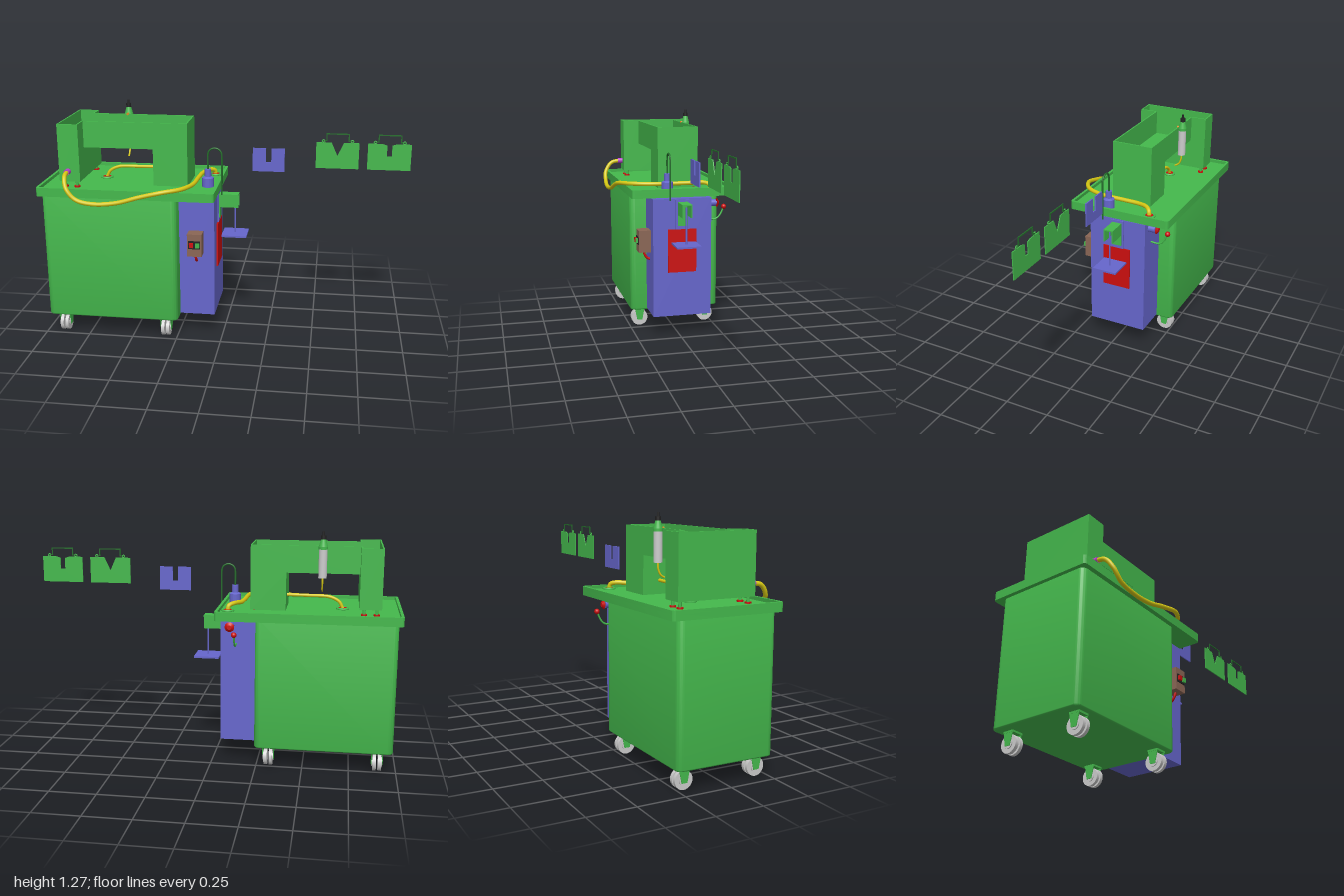
import * as THREE from 'three';
import { toCreasedNormals } from 'three/addons/utils/BufferGeometryUtils.js';

const mat = (color) => new THREE.MeshStandardMaterial({ color, side: THREE.DoubleSide });
const GREEN = mat(0x44b84c), BLUE = mat(0x6666cc), RED = mat(0xcc0f0f), YELLOW = mat(0xd6c814),
  BROWN = mat(0x8a6655), BLACK = mat(0x222222), PURPLE = mat(0xbb44cc), GREY = mat(0xcccccc), DARK = mat(0x236b2a);

export function createModel() {
  const model = new THREE.Group();

  const add = (name, geo, material, parent = model) => {
    const mesh = new THREE.Mesh(geo, material);
    mesh.name = name;
    parent.add(mesh);
    return mesh;
  };
  // box given by its min and max limits
  const box = (name, [x0, x1], [y0, y1], [z0, z1], material, parent) => {
    const m = add(name, new THREE.BoxGeometry(x1 - x0, y1 - y0, z1 - z0), material, parent);
    m.position.set((x0 + x1) / 2, (y0 + y1) / 2, (z0 + z1) / 2);
    return m;
  };
  // cylinder centred at a point, along a named axis
  const cyl = (name, r0, r1, h, [x, y, z], axis, material, parent) => {
    const m = add(name, new THREE.CylinderGeometry(r1, r0, h, 28), material, parent);
    m.position.set(x, y, z);
    if (axis === 'x') m.rotation.z = -Math.PI / 2;
    if (axis === 'z') m.rotation.x = Math.PI / 2;
    return m;
  };
  const tube = (name, pts, r, material, segs = 80) => add(name, new THREE.TubeGeometry(
    new THREE.CatmullRomCurve3(pts.map((p) => new THREE.Vector3(...p)), false, 'centripetal'), segs, r, 12), material);
  // upright sheet cut from an outline in x and y
  const sheet = (name, pts, z, t, material, parent) => {
    const shape = new THREE.Shape(pts.map((p) => new THREE.Vector2(...p)));
    const m = add(name, new THREE.ExtrudeGeometry(shape, { depth: t, bevelEnabled: false }), material, parent);
    m.position.z = z;
    return m;
  };
  const roundRect = (target, x0, x1, z0, z1, r) => {
    target.absarc(x1 - r, -z0 - r, r, 0, Math.PI / 2);
    target.absarc(x0 + r, -z0 - r, r, Math.PI / 2, Math.PI);
    target.absarc(x0 + r, -z1 + r, r, Math.PI, Math.PI * 1.5);
    target.absarc(x1 - r, -z1 + r, r, Math.PI * 1.5, Math.PI * 2);
    target.closePath();
    return target;
  };
  // rounded block standing on y0, optionally hollowed by an inner rounded rectangle
  const slab = (name, outer, y0, y1, inner, bevel = 0) => {
    const shape = roundRect(new THREE.Shape(), ...outer);
    if (inner) shape.holes.push(roundRect(new THREE.Path(), ...inner));
    const geo = new THREE.ExtrudeGeometry(shape, {
      depth: y1 - y0 - 2 * bevel, curveSegments: 8, bevelEnabled: bevel > 0,
      bevelThickness: bevel, bevelSize: bevel, bevelOffset: -bevel, bevelSegments: 3,
    });
    geo.rotateX(-Math.PI / 2);
    const m = add(name, toCreasedNormals(geo, 0.6), GREEN);
    m.position.y = y0 + bevel;
  };

  // Main cabinet and tray table
  slab('cabinet', [-0.98, -0.24, -0.28, 0.25, 0.03], 0.11, 0.82, null, 0.008);
  slab('tableTop', [-1, -0.03, -0.325, 0.275, 0.015], 0.815, 0.845);
  slab('tableRim', [-1, -0.03, -0.325, 0.275, 0.015], 0.845, 0.863, [-0.985, -0.045, -0.31, 0.26, 0.01]);

  // Casters
  for (const x of [-0.9, -0.315]) for (const z of [0.19, -0.215]) {
    const caster = new THREE.Group();
    caster.name = 'caster';
    caster.position.set(x, 0, z);
    model.add(caster);
    for (const s of [-1, 1]) {
      cyl('wheel', 0.048, 0.048, 0.018, [s * 0.014, 0.048, 0], 'x', GREY, caster);
      cyl('wheelHub', 0.026, 0.026, 0.006, [s * 0.025, 0.048, 0], 'x', GREY, caster);
      const cheek = sheet('forkCheek', [[-0.03, 0.11], [-0.015, 0.035], [0.015, 0.035], [0.03, 0.11]], 0, 0.004, GREEN, caster);
      cheek.rotation.y = Math.PI / 2;
      cheek.position.x = s * 0.029 - 0.002;
    }
    box('forkPlate', [-0.032, 0.032], [0.1, 0.113], [-0.03, 0.03], GREEN, caster);
  }

  // Open-topped upper housing: wide column, arm and narrow column, all thin walls
  const housing = new THREE.Group();
  housing.name = 'upperHousing';
  model.add(housing);
  const t = 0.008, bottom = 0.88, top = 1.195, armY = 1.05, full = [bottom, top];
  box('columnOuterWall', [-0.89, -0.89 + t], full, [-0.235, 0.188], GREEN, housing);
  box('columnFrontWall', [-0.89, -0.775], full, [0.188 - t, 0.188], GREEN, housing);
  box('columnBackWall', [-0.89, -0.775], full, [-0.235, -0.235 + t], GREEN, housing);
  box('columnFrontReturn', [-0.775 - t, -0.775], full, [0.092, 0.188], GREEN, housing);
  box('columnBackReturn', [-0.775 - t, -0.775], full, [-0.235, -0.145], GREEN, housing);
  box('columnInnerWall', [-0.775 - t, -0.775], [bottom, armY], [-0.145, 0.092], GREEN, housing);
  const armOutline = [[-0.78, top], [-0.78, armY], [-0.39, armY], [-0.39, 0.846], [-0.2, 0.846], [-0.2, top]];
  sheet('armFrontWall', armOutline, 0.092 - t, t, GREEN, housing);
  sheet('armBackWall', armOutline, -0.145, t, GREEN, housing);
  box('armFloor', [-0.78, -0.39], [armY, armY + t], [-0.145, 0.092], GREEN, housing);
  box('narrowInnerWall', [-0.39, -0.39 + t], [0.846, armY], [-0.145, 0.092], GREEN, housing);
  box('narrowOuterWall', [-0.2 - t, -0.2], [0.846, top], [-0.145, 0.092], GREEN, housing);
  for (const [x, z] of [[-0.865, 0.165], [-0.8, 0.165], [-0.865, -0.21], [-0.8, -0.21], [-0.22, -0.125], [-0.22, 0.07]]) {
    cyl('footPad', 0.016, 0.016, 0.008, [x, 0.849, z], 'y', RED);
    cyl('footPost', 0.008, 0.008, 0.035, [x, 0.866, z], 'y', GREEN);
  }

  // Pressure cylinder behind the arm
  const px = -0.58, pz = -0.167;
  cyl('pressureCylinder', 0.022, 0.022, 0.15, [px, 1.105, pz], 'y', GREY);
  cyl('cylinderCollar', 0.024, 0.024, 0.014, [px, 1.187, pz], 'y', GREEN);
  cyl('cylinderCap', 0.024, 0.013, 0.04, [px, 1.212, pz], 'y', GREEN);
  cyl('cylinderNut', 0.014, 0.014, 0.02, [px, 1.242, pz], 'y', BLACK);
  cyl('cylinderStem', 0.006, 0.006, 0.025, [px, 1.26, pz], 'y', BLACK);
  cyl('cylinderPort', 0.007, 0.007, 0.03, [px, 1.195, -0.15], 'z', mat(0xd88a20));
  tube('cylinderHose', [[px, 1.035, pz], [px, 1.0, -0.165], [px, 0.97, -0.152], [px, 0.955, -0.13]], 0.005, YELLOW, 24);

  // Table ports and hoses
  const port = (x, z) => {
    const ring = add('portRing', new THREE.TorusGeometry(0.028, 0.007, 10, 32), GREEN);
    ring.rotation.x = Math.PI / 2;
    ring.position.set(x, 0.848, z);
    cyl('portSeal', 0.022, 0.022, 0.008, [x, 0.849, z], 'y', RED);
  };
  port(-0.69, -0.05);
  port(-0.085, -0.19);
  tube('innerHose', [[-0.69, 0.85, -0.05], [-0.67, 0.885, -0.05], [-0.62, 0.91, -0.05], [-0.5, 0.915, -0.05], [-0.39, 0.917, -0.05]], 0.009, YELLOW);
  tube('mainHose', [[-0.84, 0.935, 0.03], [-0.84, 0.937, 0.2], [-0.838, 0.925, 0.26], [-0.82, 0.87, 0.3], [-0.77, 0.815, 0.308],
    [-0.68, 0.795, 0.312], [-0.55, 0.805, 0.31], [-0.42, 0.842, 0.31], [-0.3, 0.87, 0.303], [-0.21, 0.876, 0.25],
    [-0.165, 0.876, 0.15], [-0.155, 0.876, 0], [-0.145, 0.878, -0.1], [-0.115, 0.882, -0.16], [-0.09, 0.872, -0.185], [-0.085, 0.845, -0.19]],
  0.012, YELLOW, 160);
  cyl('hoseFitting', 0.016, 0.016, 0.03, [-0.84, 0.937, 0.203], 'z', PURPLE);

  // Side cabinet with red panel
  box('sideCabinet', [-0.24, -0.045], [0.12, 0.805], [-0.185, 0.155], BLUE);
  box('sidePanel', [-0.045, -0.037], [0.38, 0.63], [-0.095, 0.07], RED);

  // Switch box
  box('switchBox', [-0.185, -0.105], [0.49, 0.617], [0.155, 0.225], BROWN);
  box('switchPlate', [-0.178, -0.112], [0.535, 0.58], [0.225, 0.229], BLACK);
  box('stopButton', [-0.172, -0.15], [0.545, 0.57], [0.229, 0.24], RED);
  box('startButton', [-0.138, -0.116], [0.545, 0.57], [0.229, 0.24], GREEN);
  tube('switchCable', [[-0.143, 0.495, 0.19], [-0.143, 0.47, 0.185], [-0.143, 0.45, 0.17], [-0.143, 0.443, 0.153]], 0.007, RED, 20);

  // Sensor bracket with hanging tray
  box('bracketPlate', [-0.045, -0.038], [0.63, 0.8], [-0.055, 0.028], BLUE);
  box('bracketFlange', [-0.038, -0.032], [0.65, 0.785], [-0.043, 0.013], GREEN);
  for (const z of [-0.043, 0.007]) box('bracketSide', [-0.038, 0.07], [0.712, 0.787], [z, z + 0.006], GREEN);
  box('bracketTop', [-0.038, 0.07], [0.78, 0.787], [-0.043, 0.013], GREEN);
  cyl('trayRod', 0.005, 0.005, 0.21, [0.05, 0.665, -0.015], 'y', BLUE);
  box('hangingTray', [-0.02, 0.12], [0.55, 0.56], [-0.085, 0.055], BLUE);

  // Pump on the table corner with its gooseneck
  const pump = [[0, 0.845], [0.032, 0.845], [0.032, 0.895], [0.018, 0.903], [0.018, 0.943], [0, 0.943]];
  add('pump', toCreasedNormals(new THREE.LatheGeometry(pump.map((p) => new THREE.Vector2(...p)), 28), 0.6), BLUE)
    .position.set(-0.092, 0, 0.062);
  const neck = [[-0.092, 0.94, 0.062], [-0.092, 1.02, 0.062]];
  for (let i = 1; i < 8; i++) {
    const a = Math.PI * (1 - i / 8);
    neck.push([-0.054 + 0.038 * Math.cos(a), 1.022 + 0.038 * Math.sin(a), 0.062]);
  }
  neck.push([-0.016, 1.02, 0.062], [-0.016, 0.8, 0.062]);
  tube('gooseneck', neck, 0.005, DARK);

  // Valve and lever on the back of the side cabinet
  cyl('valveBody', 0.02, 0.02, 0.04, [-0.1, 0.765, -0.205], 'z', BLUE);
  cyl('valveStem', 0.008, 0.008, 0.02, [-0.1, 0.765, -0.228], 'z', BLUE);
  cyl('valveKnob', 0.012, 0.026, 0.012, [-0.1, 0.765, -0.238], 'z', RED);
  tube('lever', [[-0.13, 0.665, -0.183], [-0.13, 0.665, -0.235], [-0.13, 0.685, -0.26], [-0.13, 0.735, -0.284]], 0.005, GREEN, 24);
  add('leverBall', new THREE.SphereGeometry(0.015, 20, 14), RED).position.set(-0.13, 0.735, -0.284);

  // Separate notched plates in line beside the machine
  const pz0 = -0.017, thin = 0.005;
  sheet('bluePlate', [[0.145, 0.92], [0.32, 0.92], [0.32, 1.05], [0.247, 1.05], [0.247, 0.972], [0.218, 0.972], [0.218, 1.05], [0.145, 1.05]], pz0 - 0.003, 0.007, BLUE);
  const handlePlate = (name, x, notch) => {
    const g = new THREE.Group();
    g.name = name;
    g.position.x = x;
    model.add(g);
    sheet('plate', [[-0.115, 0.95], [0.115, 0.95], [0.115, 1.093], ...notch, [-0.115, 1.093]], pz0, thin, GREEN, g);
    for (const s of [-1, 1]) {
      box('handleSide', s < 0 ? [-0.062, -0.056] : [0.056, 0.062], [1.102, 1.142], [pz0, pz0 + thin], DARK, g);
      box('handleFoot', s < 0 ? [-0.078, -0.056] : [0.056, 0.078], [1.1, 1.106], [pz0, pz0 + thin], DARK, g);
      add('handleEye', new THREE.TorusGeometry(0.007, 0.003, 8, 16), GREEN, g).position.set(s * 0.077, 1.1, pz0 + thin / 2);
    }
    box('handleBar', [-0.062, 0.062], [1.137, 1.143], [pz0, pz0 + thin], DARK, g);
  };
  handlePlate('veeNotchPlate', 0.604, [[0.033, 1.093], [0, 1.02], [-0.033, 1.093]]);
  handlePlate('squareNotchPlate', 0.88, [[0.038, 1.093], [0.013, 1.085], [0.013, 1.025], [-0.013, 1.025], [-0.013, 1.085], [-0.038, 1.093]]);

  return model;
}
